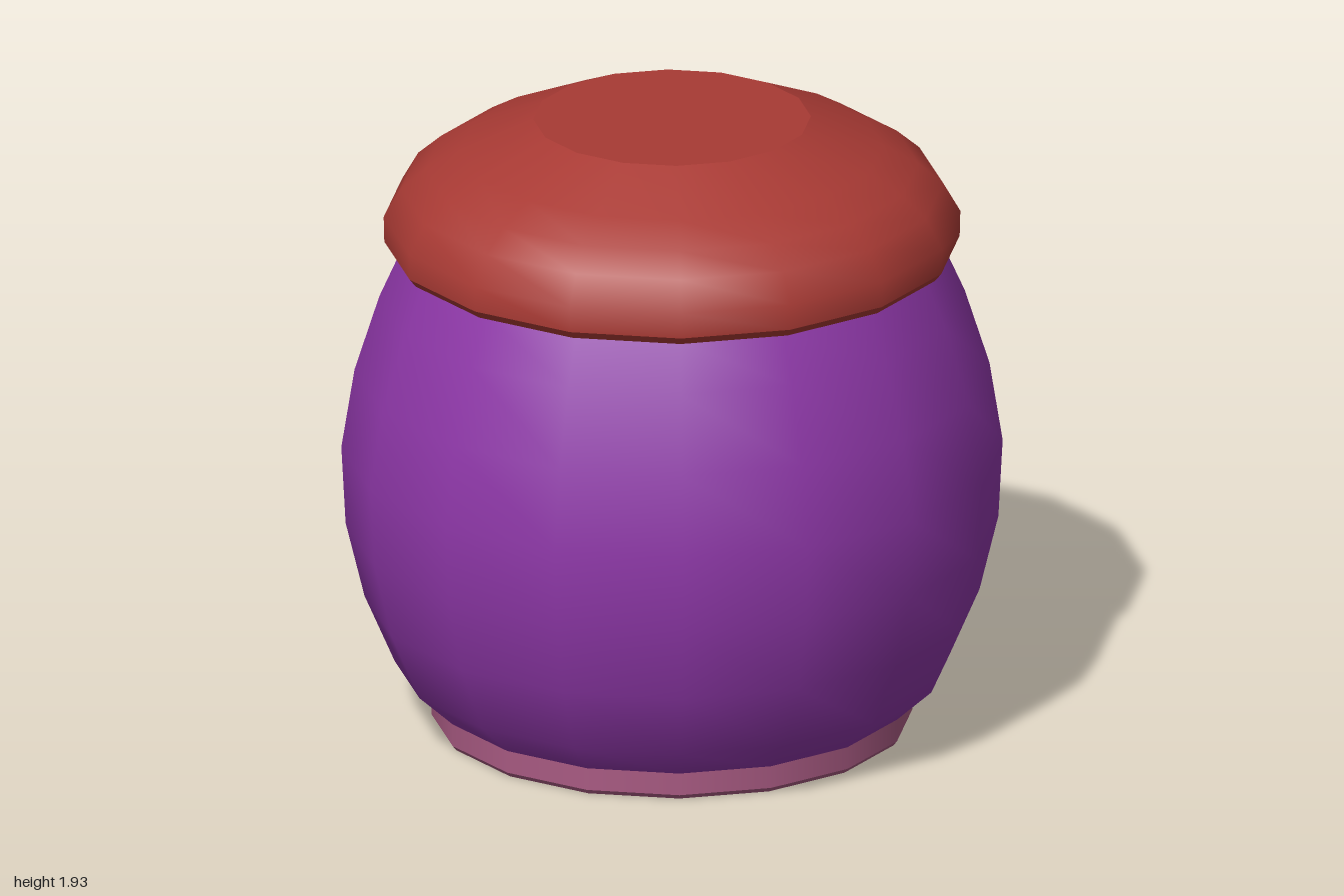
import * as THREE from 'three';
import { mergeGeometries } from 'three/addons/utils/BufferGeometryUtils.js';

const SIDES = 16;

// Turns several [radius, height] profiles, each smooth inside and sharp where they meet.
function turned(name, color, sections) {
  const parts = sections.map((section) =>
    new THREE.LatheGeometry(section.map(([r, y]) => new THREE.Vector2(r, y)), SIDES));
  const mesh = new THREE.Mesh(mergeGeometries(parts), new THREE.MeshStandardMaterial({ color }));
  mesh.name = name;
  return mesh;
}

export function createModel() {
  const group = new THREE.Group();
  group.name = 'lidded jar';

  // Foot ring with a small bevel and closed underside
  group.add(turned('foot', 0xa85a82, [
    [[0, 0], [0.715, 0]],
    [[0.715, 0], [0.727, 0.015]],
    [[0.727, 0.015], [0.727, 0.085]],
    [[0.727, 0.085], [0, 0.085]],
  ]));

  // Rounded pot, closed under the lid
  group.add(turned('pot', 0x8e37a8, [
    [[0, 0.083], [0.725, 0.083]],
    [[0.725, 0.083], [0.838, 0.187], [0.93, 0.4], [0.987, 0.635], [1, 0.88],
      [0.96, 1.13], [0.885, 1.365], [0.82, 1.51]],
    [[0.82, 1.51], [0.82, 1.53]],
  ]));

  // Domed lid with a thin bevelled rim and flat top
  group.add(turned('lid', 0xa83a34, [
    [[0, 1.515], [0.85, 1.515]],
    [[0.85, 1.515], [0.87, 1.54]],
    [[0.87, 1.54], [0.872, 1.62], [0.82, 1.71], [0.745, 1.775], [0.64, 1.835], [0.42, 1.93]],
    [[0.42, 1.93], [0, 1.93]],
  ]));

  return group;
}
